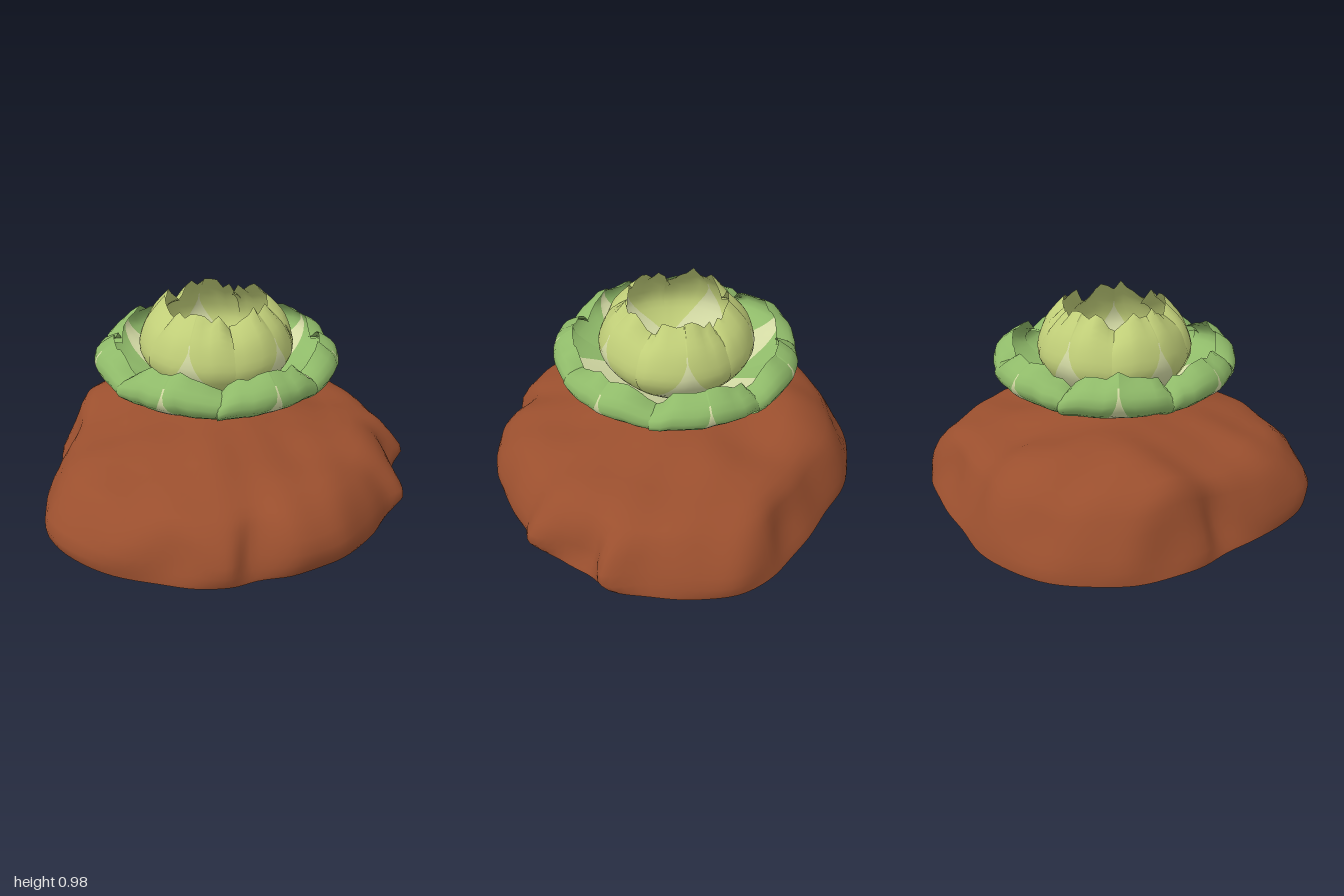
import * as THREE from 'three';

const soil = new THREE.MeshStandardMaterial({ color: 0x9a4f2e });
const leafGreen = new THREE.MeshStandardMaterial({ color: 0x8fba69, side: THREE.DoubleSide });
const heartGreen = new THREE.MeshStandardMaterial({ color: 0xc0ce78, side: THREE.DoubleSide });
const paleRib = new THREE.MeshStandardMaterial({ color: 0xd2d9a3, side: THREE.DoubleSide });
soil.name = 'soil brown';
leafGreen.name = 'leaf green';
heartGreen.name = 'heart green';
paleRib.name = 'pale rib';

// Widest outline of the heap (x, z), from +x towards +z
const OUTLINE = [[1, -0.04], [0.95, 0.14], [0.87, 0.36], [0.82, 0.57], [0.67, 0.56], [0.57, 0.67], [0.48, 0.82],
  [0.36, 0.81], [0.2, 0.88], [0, 0.92], [-0.14, 0.89], [-0.28, 0.85], [-0.43, 0.73], [-0.54, 0.74], [-0.63, 0.68],
  [-0.72, 0.54], [-0.89, 0.35], [-0.98, 0.14], [-1, -0.08], [-0.86, -0.29], [-0.71, -0.42], [-0.59, -0.53],
  [-0.55, -0.65], [-0.41, -0.76], [-0.27, -0.86], [-0.1, -0.89], [0.1, -0.92], [0.3, -0.87], [0.47, -0.78],
  [0.6, -0.57], [0.74, -0.44], [0.84, -0.3], [0.93, -0.2]];
const SEGMENTS = 132;

function makeOutline() {
  const curve = new THREE.CatmullRomCurve3(OUTLINE.map(([x, z]) => new THREE.Vector3(x, 0, z)), true);
  return Array.from({ length: SEGMENTS }, (_, i) => {
    const p = curve.getPoint(i / SEGMENTS);
    return [Math.min(1, Math.max(-1, p.x)), p.z];
  });
}

// Average each outline point with its neighbours
function smoothOutline(outline, reach) {
  return outline.map((_, i) => {
    let x = 0, z = 0;
    for (let d = -reach; d <= reach; d++) {
      const p = outline[(i + d + SEGMENTS) % SEGMENTS];
      x += p[0];
      z += p[1];
    }
    return [x / (2 * reach + 1), z / (2 * reach + 1)];
  });
}

// Lumpy heap: rings shrink towards the top; bulges are strongest near the foot
function makeMound() {
  const outline = makeOutline();
  const soft = smoothOutline(outline, 8);
  // ring: scale, height, smoothing
  const rings = [[1.005, 0, 0.65], [1.005, 0.02, 0.5], [0.995, 0.06, 0.15], [0.975, 0.11, 0], [0.945, 0.17, 0.15],
    [0.905, 0.225, 0.4], [0.86, 0.265, 0.65], [0.8, 0.288, 0.85], [0.73, 0.305, 1], [0.64, 0.32, 1], [0.54, 0.342, 1],
    [0.43, 0.365, 1], [0.32, 0.383, 1], [0.21, 0.397, 1], [0.1, 0.415, 1], [0, 0.432, 1]];
  const pos = [], index = [];
  const foot = [];
  rings.forEach(([t, h, w], j) => {
    outline.forEach(([ox, oz], i) => {
      const a = Math.atan2(oz, ox);
      const side = Math.sin(Math.PI * Math.min(1, h / 0.31));
      // steep at the front, gently sloping at the back
      const slope = -0.03 + 0.035 * Math.sin(a) + 0.02 * Math.sin(a) ** 2;
      const k = t * (1 + side * (slope + 0.014 * Math.sin(7 * a + 9 * h) + 0.01 * Math.sin(13 * a - 14 * h)));
      const x = THREE.MathUtils.clamp(THREE.MathUtils.lerp(ox, soft[i][0], w) * k, -1, 1);
      const z = THREE.MathUtils.lerp(oz, soft[i][1], w) * k;
      const lump = 0.013 * Math.sin(8 * x + 3 * z) * Math.sin(9 * z - 2 * x + 1) * Math.min(1, t * 3)
        + 0.008 * Math.sin(17 * x - 4 * z) * Math.sin(15 * z + 5 * x) * Math.min(1, t * 2);
      const ridge = 0.085 * Math.exp(-(((x + 0.05) / 0.44) ** 6) - ((z + 0.53) / 0.21) ** 2);
      pos.push(x, h + Math.min(1, h / 0.25) * (lump + ridge), z);
      if (j === 0) foot.push(new THREE.Vector2(x, z));
    });
    if (j === 0) return;
    for (let i = 0; i < SEGMENTS; i++) {
      const n = (i + 1) % SEGMENTS, lo = (j - 1) * SEGMENTS, hi = j * SEGMENTS;
      index.push(lo + i, hi + i, lo + n, lo + n, hi + i, hi + n);
    }
  });
  const geo = new THREE.BufferGeometry();
  geo.setAttribute('position', new THREE.Float32BufferAttribute(pos, 3));
  geo.setIndex(index);
  geo.computeVertexNormals();

  const base = new THREE.ShapeGeometry(new THREE.Shape(foot));
  base.rotateX(Math.PI / 2);
  const group = new THREE.Group();
  group.name = 'soilMound';
  const top = new THREE.Mesh(geo, soil);
  top.name = 'moundTop';
  const bottom = new THREE.Mesh(base, soil);
  bottom.name = 'moundBase';
  group.add(top, bottom);
  return group;
}

// One cupped leaf with a tapering pale rib and a ragged rim
function makeLeaf(o, k) {
  const curve = new THREE.SplineCurve(o.profile.map(([r, y]) => new THREE.Vector2(r, y)));
  const center = o.start + (k / o.count) * Math.PI * 2;
  const half = (Math.PI / o.count) * 1.05;
  const ROWS = 22, PANEL = 5, COLS = PANEL * 3;
  const pos = [], green = [], pale = [];
  for (let j = 0; j <= ROWS; j++) {
    const v = j / ROWS;
    const s = Math.min(0.96, Math.max(0.015, o.ribWidth * Math.max(0, 1 - v / o.ribTip) ** o.ribPower));
    for (let i = 0; i <= COLS; i++) {
      const f = (i % PANEL) / PANEL;
      const u = i < PANEL ? -1 + (1 - s) * f
        : i < 2 * PANEL ? -s + 2 * s * f
          : i < COLS ? s + (1 - s) * f : 1;
      const p = curve.getPointAt(v);
      // the rim drops towards the seams, in small teeth
      const teeth = o.ragged * (Math.sin(9 * u + 2.3 * k) + 0.6 * Math.sin(17 * u + k));
      const y = p.y - (o.drop * Math.abs(u) ** 3 + teeth) * v ** 5;
      // one edge tucks under the neighbouring leaf
      const r = p.x * (1 + 0.007 * u - 0.03 * u * u * v);
      const a = center + u * half;
      pos.push(r * Math.cos(a), y, r * Math.sin(a));
      if (j === ROWS || i === COLS) continue;
      const q = j * (COLS + 1) + i, w = q + COLS + 1;
      const isRib = i >= PANEL && i < 2 * PANEL && v < o.ribTip;
      (isRib ? pale : green).push(q, w, q + 1, q + 1, w, w + 1);
    }
  }
  const geo = new THREE.BufferGeometry();
  geo.setAttribute('position', new THREE.Float32BufferAttribute(pos, 3));
  geo.setIndex([...green, ...pale]);
  geo.addGroup(0, green.length, 0);
  geo.addGroup(green.length, pale.length, 1);
  geo.computeVertexNormals();
  const mesh = new THREE.Mesh(geo, [o.material, paleRib]);
  mesh.name = o.name;
  return mesh;
}

function makeWhorl(name, o) {
  const group = new THREE.Group();
  group.name = name;
  for (let k = 0; k < o.count; k++) group.add(makeLeaf(o, k));
  return group;
}

export function createModel() {
  const model = new THREE.Group();
  model.name = 'cabbageOnSoil';
  model.add(makeMound());
  model.add(makeWhorl('outerLeaves', {
    name: 'outerLeaf', material: leafGreen, count: 7, start: 0,
    profile: [[0, 0.39], [0.16, 0.455], [0.36, 0.535], [0.51, 0.6], [0.58, 0.67], [0.56, 0.735], [0.485, 0.785]],
    ribWidth: 1.55, ribTip: 0.88, ribPower: 1.3, drop: 0.085, ragged: 0.012,
  }));
  model.add(makeWhorl('heartLeaves', {
    name: 'heartLeaf', material: heartGreen, count: 5, start: 0.12,
    profile: [[0, 0.395], [0.15, 0.49], [0.28, 0.59], [0.35, 0.68], [0.368, 0.75], [0.335, 0.85], [0.29, 0.91], [0.24, 0.96]],
    ribWidth: 2.7, ribTip: 0.8, ribPower: 1.54, drop: 0.07, ragged: 0.016,
  }));
  return model;
}
